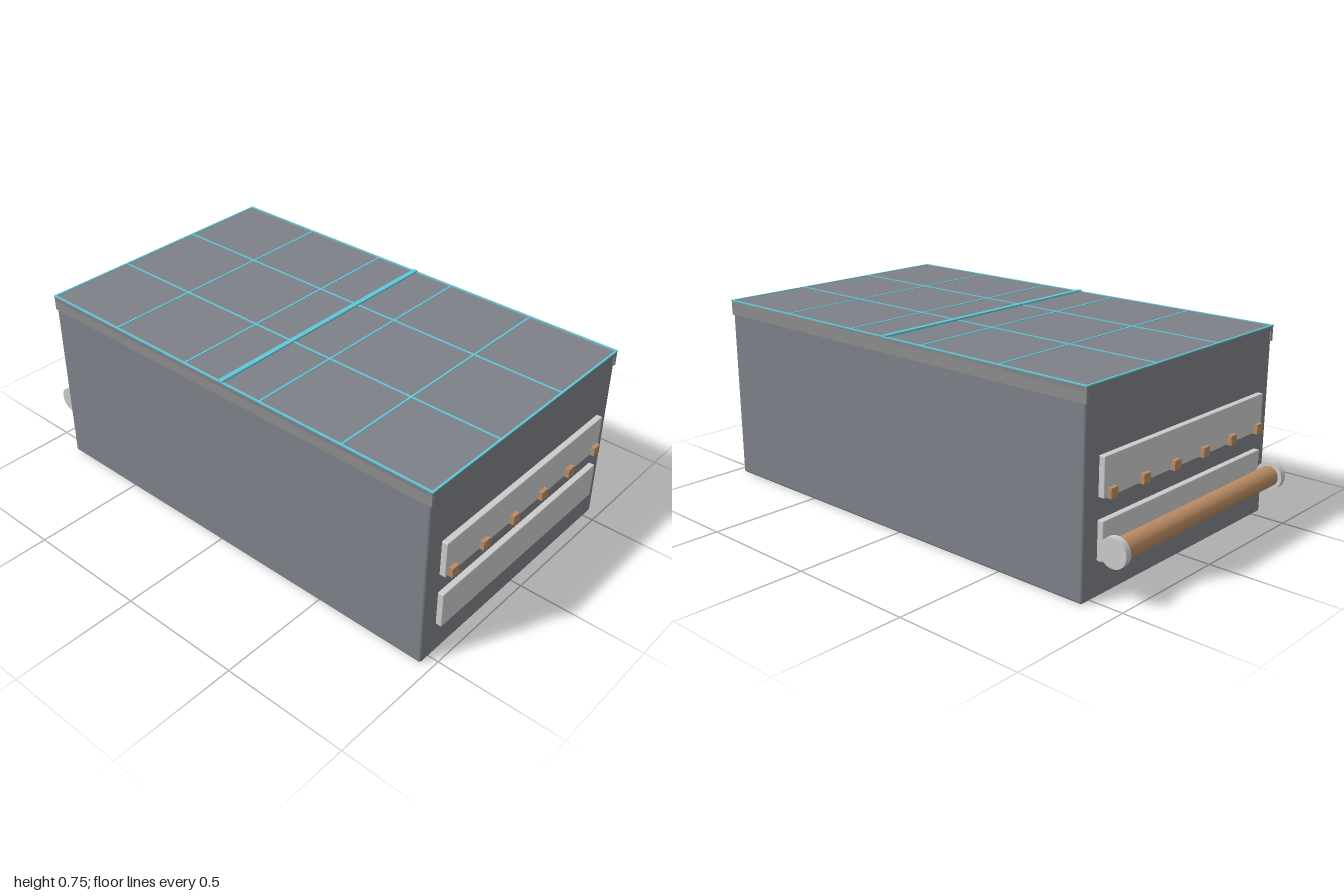
import * as THREE from 'three';
import { RoundedBoxGeometry } from 'three/addons/geometries/RoundedBoxGeometry.js';

export function createModel() {
  const root = new THREE.Group();
  const material = (color) => new THREE.MeshStandardMaterial({ color });
  const bodyGrey = material(0x7d8188);
  const lidGrey = material(0x8c8c8c);
  const lightGrey = material(0xcccccc);
  const copper = material(0xb88a62);
  const cyan = material(0x5fc8d8);

  const add = (name, geometry, mat, x, y, z, parent = root) => {
    const mesh = new THREE.Mesh(geometry, mat);
    mesh.name = name;
    mesh.position.set(x, y, z);
    parent.add(mesh);
    return mesh;
  };
  const box = (name, w, h, d, mat, x, y, z, parent) =>
    add(name, new THREE.BoxGeometry(w, h, d), mat, x, y, z, parent);

  const midZ = 0.045; // centre of the case along z
  const length = 1.83;

  // Main case with softly rounded edges
  add('caseBody', new RoundedBoxGeometry(1.096, 0.735, length, 3, 0.01), bodyGrey, 0, 0.3675, midZ);

  // Lid plate with long side skirts
  const lid = new THREE.Group();
  lid.name = 'lid';
  root.add(lid);
  box('lidPlate', 1.1, 0.018, length + 0.008, bodyGrey, 0, 0.729, midZ, lid);
  for (const side of [-1, 1]) {
    box('lidSkirt', 0.013, 0.058, length + 0.008, lidGrey, side * 0.5435, 0.709, midZ, lid);
  }

  // Inlaid grid and raised centre strip on the lid
  const grid = new THREE.Group();
  grid.name = 'lidGrid';
  root.add(grid);
  for (let i = 0; i <= 3; i++) {
    box('lengthwiseLine', 0.008, 0.004, length + 0.01, cyan, -0.547 + i * 0.3647, 0.738, midZ, grid);
  }
  for (let i = 0; i <= 5; i++) {
    box('crosswiseLine', 1.102, 0.004, 0.008, cyan, 0, 0.738, midZ - 0.917 + i * 0.3668, grid);
  }
  box('centreStrip', 1.1, 0.012, 0.02, cyan, 0, 0.739, midZ, grid);

  // Two plates and a row of terminals on each end
  for (const side of [-1, 1]) {
    const end = new THREE.Group();
    end.name = side > 0 ? 'frontPlates' : 'backPlates';
    end.position.z = midZ + side * length / 2;
    root.add(end);
    for (const y of [0.205, 0.425]) {
      add('endPlate', new RoundedBoxGeometry(0.95, 0.143, 0.024, 2, 0.003), lightGrey, 0, y, side * 0.012, end);
    }
    for (let i = 0; i < 6; i++) {
      box('terminal', 0.036, 0.036, 0.036, copper, -0.44 + i * 0.176, 0.37, side * 0.022, end);
    }
  }

  // Horizontal coil roller behind the case
  const roller = new THREE.Group();
  roller.name = 'backRoller';
  roller.position.set(0, 0.187, -0.946);
  roller.rotation.z = Math.PI / 2;
  root.add(roller);
  add('rollerRod', new THREE.CylinderGeometry(0.039, 0.039, 0.94, 32), copper, 0, 0, 0, roller);
  for (const side of [-1, 1]) {
    add('rollerCap', new THREE.CylinderGeometry(0.054, 0.054, 0.026, 32), lightGrey, 0, side * 0.477, 0, roller);
  }

  return root;
}
